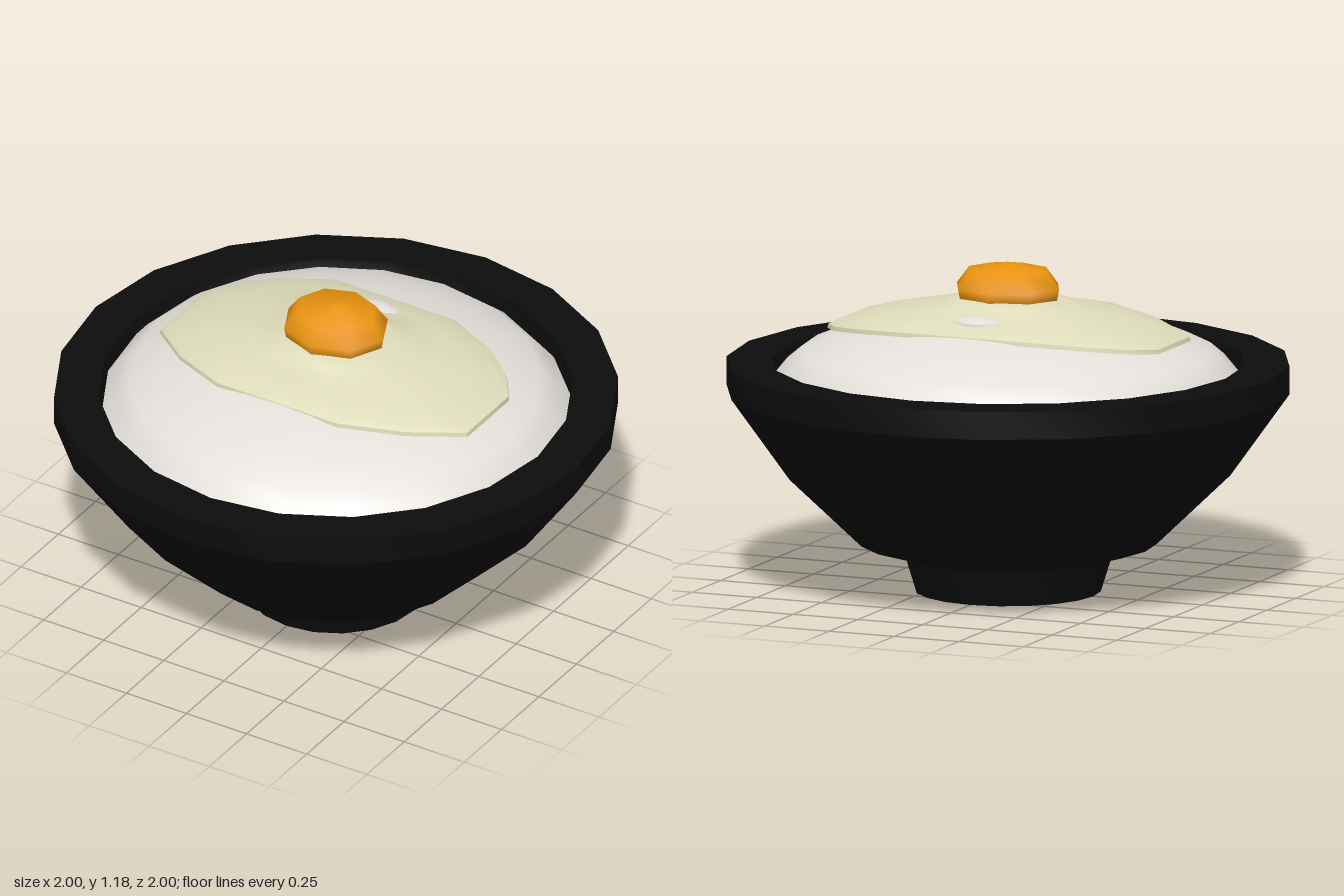
import * as THREE from 'three';
import { toCreasedNormals } from 'three/addons/utils/BufferGeometryUtils.js';

const paint = (name, color) => {
  const m = new THREE.MeshStandardMaterial({ color });
  m.name = name;
  return m;
};

const lathe = (profile, sides) =>
  new THREE.LatheGeometry(profile.map(([r, y]) => new THREE.Vector2(r, y)), sides);

export function createModel() {
  const model = new THREE.Group();
  model.name = 'riceBowl';
  const black = paint('black glaze', 0x0c0c0c);
  const white = paint('rice white', 0xe3dfd9);
  const cream = paint('egg white cream', 0xdddbb9);
  const orange = paint('yolk orange', 0xe8930f);

  const add = (name, geometry, material) => {
    const mesh = new THREE.Mesh(geometry, material);
    mesh.name = name;
    model.add(mesh);
    return mesh;
  };

  // Bowl: hollow foot, flared wall, flat rim and inner wall
  add('bowl', toCreasedNormals(lathe([
    [0, 0.09], [0.26, 0.09], [0.28, 0], [0.33, 0], [0.37, 0.13], [0.53, 0.175],
    [0.79, 0.425], [1, 0.72], [1, 0.82], [0.84, 0.82], [0.82, 0.7], [0.6, 0.4], [0, 0.25],
  ], 20), 0.6), black);

  // Mound of rice, slightly narrower front to back
  const rice = add('rice', lathe([
    [0.85, 0.74], [0.785, 0.82], [0.735, 0.862], [0.62, 0.91], [0.48, 0.955],
    [0.3, 0.99], [0.15, 1.005], [0, 1.01],
  ], 20), white);
  rice.scale.z = 0.98;

  // Small lump of rice showing through behind the yolk
  const lump = add('riceLump', new THREE.SphereGeometry(1, 10, 6), white);
  lump.scale.set(0.1, 0.025, 0.06);
  lump.position.set(0, 1.0, -0.27);

  // Egg white: an irregular oval draped over the mound, with a round collar
  const half = [[0.25, 0.395], [0.47, 0.29], [0.58, 0.2], [0.64, 0.15],
    [0.64, -0.13], [0.57, -0.23], [0.45, -0.32], [0.25, -0.4]];
  const outline = [...half, ...half.map(([x, z]) => [-x, z]).reverse()];
  const section = [[0.85, 0.965], [1, 0.965], [0.995, 0.98], [0.94, 0.993],
    [0.75, 1.012], [0.52, 1.028], [0.33, 1.045], [0.28, 1.056], [0, 1.06]];
  const eggGeometry = lathe(section, outline.length);
  const pos = eggGeometry.attributes.position;
  for (let i = 0; i < pos.count; i++) {
    const [s, y] = section[i % section.length];
    const [ox, oz] = outline[Math.floor(i / section.length) % outline.length];
    let x = ox * s, z = oz * s;
    if (s <= 0.33) {
      const a = Math.atan2(ox / 0.64, oz / 0.4);
      x = 0.7 * s * Math.sin(a);
      z = 0.62 * s * Math.cos(a);
    }
    pos.setXYZ(i, x, y - 0.05 * (x / 0.64) ** 2, z);
  }
  add('eggWhite', toCreasedNormals(eggGeometry, 0.7), cream);

  // Eight-sided yolk
  const yolk = add('yolk', lathe([
    [0.17, 1.03], [0.19, 1.055], [0.197, 1.09], [0.15, 1.152], [0, 1.178],
  ], 8), orange);
  yolk.scale.z = 0.88;

  return model;
}
